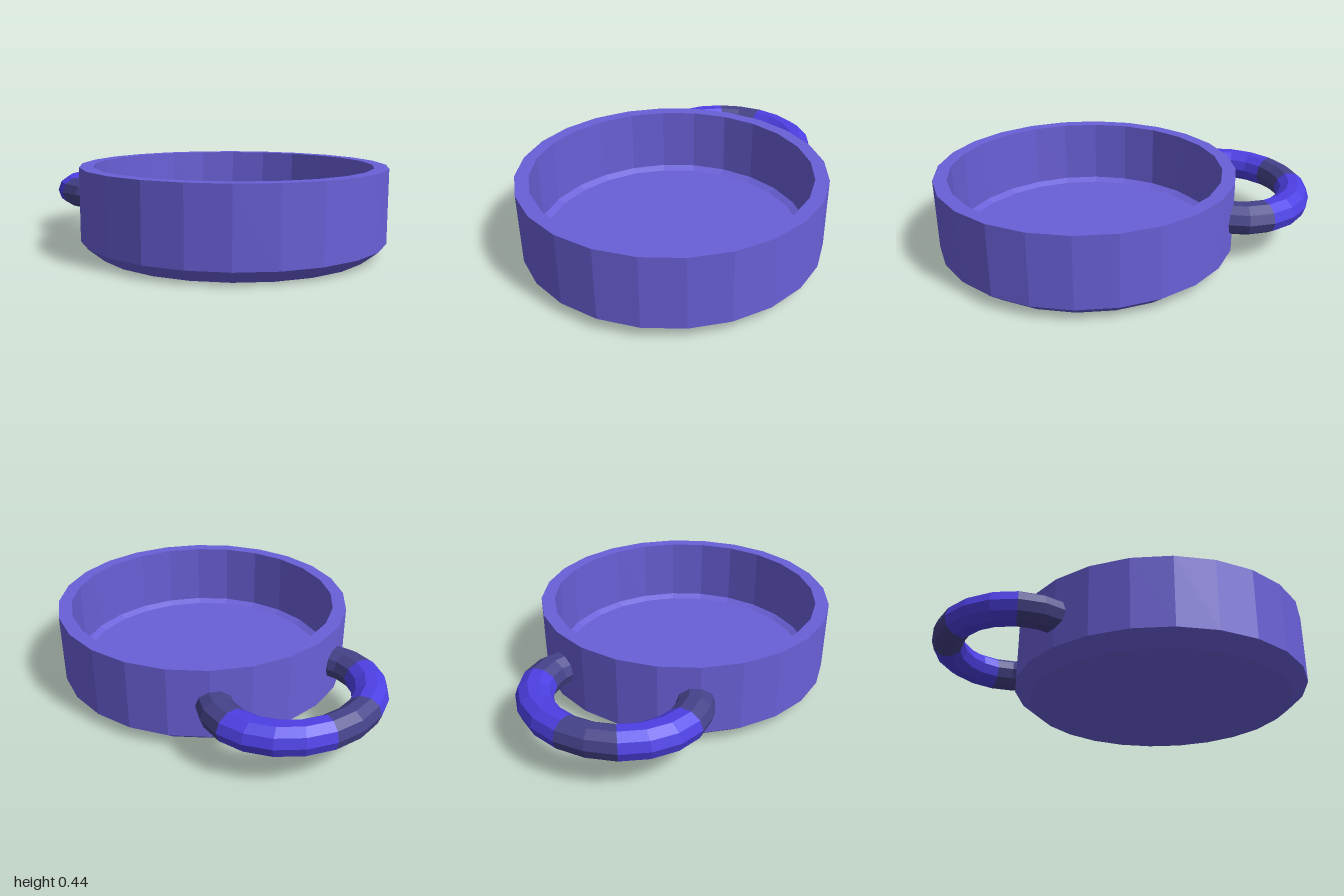
import * as THREE from 'three';

const flat = (name, color) => {
  const m = new THREE.MeshStandardMaterial({ color, flatShading: true });
  m.name = name;
  return m;
};

export function createModel() {
  const group = new THREE.Group();
  const purple = flat('purple', 0x6a60d8);
  const brightBlue = flat('brightBlue', 0x4d40e4);
  const darkBlue = flat('darkBlue', 0x45428a);

  // Dish: chamfered base, thick wall, small chamfer around the inner floor
  const profile = [
    [0, 0], [0.7, 0], [0.78, 0.065], [0.78, 0.435],
    [0.71, 0.435], [0.71, 0.09], [0.675, 0.07], [0, 0.07],
  ].map(([r, y]) => new THREE.Vector2(r, y));
  const dish = new THREE.Mesh(new THREE.LatheGeometry(profile, 24), purple);
  dish.name = 'dish';
  dish.position.z = 0.22;
  group.add(dish);

  // Ring handle: slightly squashed arc whose ends sink into the wall
  const sides = 10, steps = 13;
  const overlap = THREE.MathUtils.degToRad(27);
  const ring = new THREE.TorusGeometry(0.395, 0.095, sides, steps, Math.PI + 2 * overlap);
  ring.rotateZ(-overlap);
  ring.rotateX(-Math.PI / 2);
  ring.scale(1, 0.87, 0.86);

  // Alternating bands along the handle: 1 = bright, 0 = dark
  const bands = [0, 0, 1, 1, 1, 1, 0, 0, 1, 1, 1, 0, 0];
  ring.clearGroups();
  for (let j = 0; j < sides; j++) {
    for (let i = 0; i < steps; i++) ring.addGroup((j * steps + i) * 6, 6, bands[i]);
  }
  const handle = new THREE.Mesh(ring, [darkBlue, brightBlue]);
  handle.name = 'handle';
  handle.position.set(0, 0.24, -0.58);
  group.add(handle);

  return group;
}
